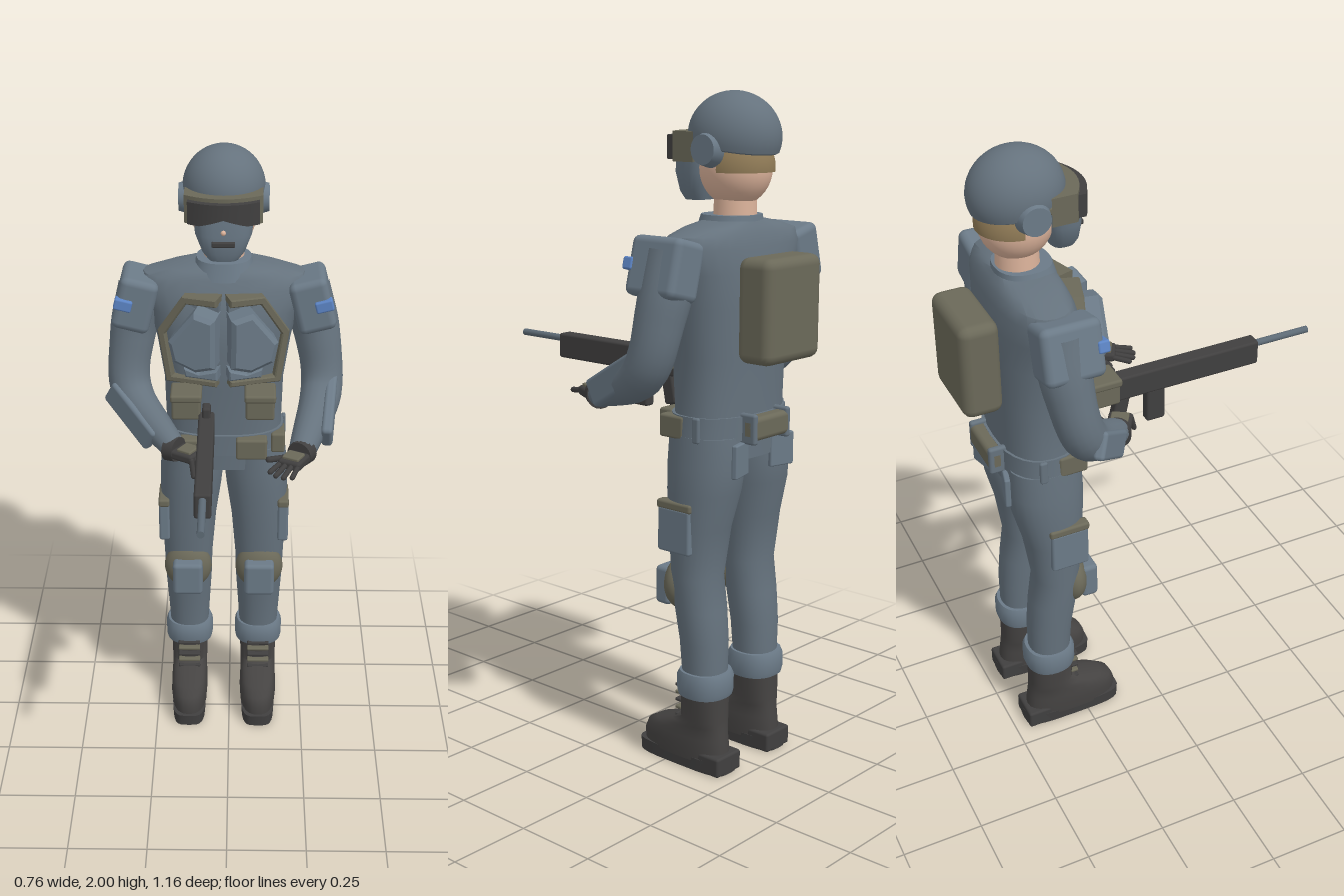
import * as THREE from 'three';
import { toCreasedNormals } from 'three/addons/utils/BufferGeometryUtils.js';
import { RoundedBoxGeometry } from 'three/addons/geometries/RoundedBoxGeometry.js';

const material = (name, color) => {
  const m = new THREE.MeshStandardMaterial({ color });
  m.name = name;
  return m;
};

export function createModel() {
  const uniform = material('uniform', 0x65727d);
  const armour = material('armour', 0x6b7a87);
  const olive = material('olive', 0x6b6959);
  const dark = material('dark', 0x403f3f);
  const boot = material('boot', 0x454342);
  const skin = material('skin', 0xdcb39b);
  const hair = material('hair', 0x8f7a56);
  const blue = material('blue', 0x5c84c4);
  const steel = material('steel', 0x5d6a75);

  const root = new THREE.Group();
  root.name = 'soldier';
  root.position.x = -0.02;

  const add = (name, geo, mat, pos = [0, 0, 0], parent = root) => {
    const m = new THREE.Mesh(geo, mat);
    m.name = name;
    m.position.set(...pos);
    parent.add(m);
    return m;
  };
  const box = (name, size, pos, mat, r = 0.008, parent = root) =>
    add(name, new RoundedBoxGeometry(...size, 2, Math.min(r, Math.min(...size) * 0.45)), mat, pos, parent);

  // closed skin over rings [y, centreX, frontZ, backZ, halfWidth]; p squares the section
  const loft = (rings, p = 2.4, n = 28) => {
    const pos = [], idx = [];
    const pw = (v) => Math.sign(v) * Math.abs(v) ** (2 / p);
    for (const [y, cx, zf, zb, rx] of rings)
      for (let i = 0; i < n; i++) {
        const a = (i / n) * Math.PI * 2;
        pos.push(cx + pw(Math.cos(a)) * rx, y, (zf + zb) / 2 + (pw(Math.sin(a)) * (zf - zb)) / 2);
      }
    for (let r = 0; r < rings.length - 1; r++)
      for (let i = 0; i < n; i++) {
        const a = r * n + i, b = r * n + ((i + 1) % n);
        idx.push(a, a + n, b, b, a + n, b + n);
      }
    const top = (rings.length - 1) * n;
    for (let i = 1; i < n - 1; i++) idx.push(0, i, i + 1, top, top + i + 1, top + i);
    const g = new THREE.BufferGeometry();
    g.setAttribute('position', new THREE.Float32BufferAttribute(pos, 3));
    g.setIndex(idx);
    return toCreasedNormals(g, 0.8);
  };

  // tube whose radius follows a list spread evenly along its path
  const limb = (pts, radii) => {
    const n = 24, m = 18;
    const g = new THREE.TubeGeometry(new THREE.CatmullRomCurve3(pts.map((p) => new THREE.Vector3(...p))), n, 1, m);
    const P = g.attributes.position, N = g.attributes.normal;
    for (let i = 0; i < P.count; i++) {
      const t = (Math.floor(i / (m + 1)) / n) * (radii.length - 1);
      const k = Math.min(Math.floor(t), radii.length - 2);
      const d = THREE.MathUtils.lerp(radii[k], radii[k + 1], t - k) - 1;
      P.setXYZ(i, P.getX(i) + N.getX(i) * d, P.getY(i) + N.getY(i) * d, P.getZ(i) + N.getZ(i) * d);
    }
    return g;
  };

  // bevelled plate from a half outline, mirrored by s and swept back from the centre line
  const plate = (name, s, pts, z, depth, mat, bevel = 0.008, sweep = 0.3) => {
    const shape = new THREE.Shape(pts.map(([x, y]) => new THREE.Vector2(x * s, y)));
    const geo = new THREE.ExtrudeGeometry(shape, {
      depth, bevelEnabled: bevel > 0, bevelSize: bevel, bevelThickness: bevel, bevelOffset: -bevel, bevelSegments: 1,
    });
    add(name, geo, mat, [0, 0, z]).rotation.y = s * sweep;
  };

  // torso, collar and belt
  add('torso', loft([
    [0.96, 0, -0.23, -0.46, 0.2], [1.1, 0, -0.225, -0.46, 0.186], [1.25, 0, -0.215, -0.465, 0.19],
    [1.4, 0, -0.2, -0.47, 0.212], [1.5, 0, -0.21, -0.465, 0.235], [1.57, 0, -0.235, -0.455, 0.265],
    [1.605, 0, -0.25, -0.445, 0.25], [1.625, 0, -0.26, -0.435, 0.18], [1.64, 0, -0.28, -0.425, 0.1],
  ]), uniform);
  add('collar', loft([[1.6, 0, -0.245, -0.43, 0.1], [1.655, 0, -0.26, -0.425, 0.085]]), armour);
  add('belt', loft([[1.02, 0, -0.215, -0.468, 0.198], [1.09, 0, -0.215, -0.468, 0.194]]), uniform);
  box('backBeltPouch', [0.17, 0.07, 0.05], [0, 1.055, -0.48], olive, 0.015);
  box('backpack', [0.25, 0.3, 0.12], [0, 1.4, -0.52], olive, 0.03);

  // head
  add('neck', new THREE.CylinderGeometry(0.06, 0.065, 0.12, 24), skin, [0, 1.67, -0.355]);
  add('head', new THREE.SphereGeometry(1, 32, 20), skin, [0, 1.785, -0.355]).scale.set(0.1, 0.11, 0.108);
  add('hair', new THREE.SphereGeometry(1, 32, 16, Math.PI + 0.1, Math.PI - 0.2, 0.3, 1.35), hair,
    [0, 1.785, -0.357]).scale.set(0.106, 0.116, 0.114);
  const dome = new THREE.SphereGeometry(1, 40, 28);
  for (let i = 0; i < dome.attributes.position.count; i++)
    dome.attributes.position.setY(i, Math.max(dome.attributes.position.getY(i), -0.25));
  const helmet = add('helmet', toCreasedNormals(dome, 0.6), uniform, [0, 1.873, -0.35]);
  helmet.scale.set(0.126, 0.127, 0.139);
  helmet.rotation.x = -0.14;
  add('faceMask', loft([
    [1.69, 0, -0.19, -0.26, 0.045], [1.715, 0, -0.18, -0.27, 0.064],
    [1.77, 0, -0.175, -0.29, 0.086], [1.84, 0, -0.18, -0.3, 0.092],
  ], 2.8), armour);
  box('mouthSlot', [0.07, 0.016, 0.02], [0, 1.75, -0.176], dark, 0.004);
  add('noseTip', new THREE.SphereGeometry(0.008, 12, 8), skin, [0, 1.785, -0.175]);

  // goggles: boxes curved around the face, the lens notched over the nose
  const curved = (w, h, d, notch) => {
    const g = new THREE.BoxGeometry(w, h, d, 12, 1, 1), P = g.attributes.position;
    for (let i = 0; i < P.count; i++) {
      const x = P.getX(i);
      P.setZ(i, P.getZ(i) - x * x * 3);
      if (P.getY(i) < 0) P.setY(i, P.getY(i) + notch * Math.max(0, 1 - Math.abs(x) / 0.07));
    }
    return toCreasedNormals(g, 0.5);
  };
  add('goggleFrame', curved(0.235, 0.085, 0.075, 0.02), olive, [0, 1.845, -0.215]);
  add('goggleLens', curved(0.215, 0.068, 0.03, 0.022), dark, [0, 1.842, -0.17]);

  // chest rig and small pouches, mirrored
  for (const s of [-1, 1]) {
    plate('vestFrame', s, [[0, 1.57], [0.11, 1.57], [0.192, 1.45], [0.165, 1.28], [0, 1.28], [0, 1.3], [0.145, 1.3],
      [0.167, 1.44], [0.098, 1.545], [0, 1.545]], -0.25, 0.072, olive, 0.004);
    plate('vestPanel', s, [[0, 1.55], [0.1, 1.55], [0.17, 1.44], [0.15, 1.29], [0, 1.29]], -0.25, 0.05, uniform, 0);
    plate('chestPlate', s, [[0.008, 1.52], [0.075, 1.54], [0.155, 1.44], [0.14, 1.375], [0.07, 1.345], [0.008, 1.36]],
      -0.22, 0.085, armour, 0.013, 0.2);
    plate('abdomenPlate', s, [[0.008, 1.345], [0.065, 1.33], [0.115, 1.345], [0.11, 1.315], [0.008, 1.31]],
      -0.21, 0.05, armour, 0.005, 0.2);
    box('vestPouch', [0.09, 0.075, 0.1], [s * 0.115, 1.235, -0.165], olive);
    box('vestPouchFlap', [0.098, 0.025, 0.108], [s * 0.115, 1.27, -0.163], olive);
    box('beltPouch', [0.1, 0.07, 0.05], [s * 0.09, 1.053, -0.215], olive);
    box('sidePouch', [0.045, 0.068, 0.09], [s * 0.175, 1.053, -0.285], olive);
    box('backBeltLoop', [0.02, 0.09, 0.06], [s * 0.075, 1.055, -0.475], uniform);
    box('hipLoop', [0.014, 0.075, 0.025], [s * 0.195, 1.055, -0.38], uniform);
    const pocket = box('backPocket', [0.085, 0.1, 0.018], [s * 0.095, 0.965, -0.462], armour, 0.005);
    pocket.rotation.y = s * 0.25;

    // ear cups
    const cup = add('earCup', new THREE.CylinderGeometry(0.042, 0.052, 0.035, 24), armour, [s * 0.12, 1.84, -0.345]);
    cup.rotation.z = -s * Math.PI / 2;
    box('earCupStrap', [0.02, 0.025, 0.1], [s * 0.107, 1.85, -0.28], olive);

    // shoulder pads with patches
    box('shoulderPad', [0.12, 0.17, 0.18], [s * 0.275, 1.52, -0.33], armour, 0.022).rotation.z = s * 0.25;
    box('shoulderPatch', [0.056, 0.036, 0.035], [s * 0.31, 1.53, -0.245], blue, 0.006).rotation.z = s * 0.25;
  }

  // legs and boots
  for (const s of [-1, 1]) {
    const x = s * 0.12;
    add('leg', loft([
      [0.27, x, -0.295, -0.425, 0.064], [0.4, x, -0.285, -0.425, 0.072], [0.5, x, -0.268, -0.415, 0.078],
      [0.6, x, -0.255, -0.4, 0.081], [0.75, s * 0.117, -0.243, -0.422, 0.091],
      [0.86, s * 0.11, -0.233, -0.45, 0.101], [0.94, s * 0.104, -0.229, -0.46, 0.104], [1.03, s * 0.1, -0.23, -0.455, 0.098],
    ], 2.2), uniform);
    add('trouserCuff', loft([[0.235, x, -0.285, -0.438, 0.078], [0.25, x, -0.28, -0.442, 0.081],
      [0.295, x, -0.28, -0.442, 0.081], [0.31, x, -0.288, -0.435, 0.075]], 2.3), armour);
    add('kneeCushion', new THREE.SphereGeometry(1, 24, 16), olive, [x, 0.567, -0.28]).scale.set(0.08, 0.085, 0.05);
    box('kneePlate', [0.1, 0.118, 0.055], [x, 0.552, -0.228], armour, 0.014);
    box('thighPocket', [0.035, 0.135, 0.12], [s * 0.197, 0.748, -0.31], armour);
    box('thighPocketFlap', [0.037, 0.027, 0.128], [s * 0.197, 0.822, -0.31], olive);

    add('boot', loft([
      [0.03, x, -0.14, -0.445, 0.06], [0.07, x, -0.137, -0.442, 0.063], [0.1, x, -0.15, -0.438, 0.062],
      [0.12, x, -0.185, -0.435, 0.06], [0.14, x, -0.25, -0.432, 0.06], [0.16, x, -0.288, -0.43, 0.061],
      [0.26, x, -0.29, -0.43, 0.064],
    ], 2.5), boot);
    add('sole', loft([[0, x, -0.13, -0.458, 0.056], [0.04, x, -0.128, -0.458, 0.058]], 4), dark);
    box('heel', [0.11, 0.06, 0.08], [x, 0.03, -0.417], dark);
    for (let i = 0; i < 5; i++)
      box('lace', [0.075, 0.01, 0.025], [x, 0.15 + i * 0.024, -0.285], i % 2 ? olive : dark, 0.004);
  }

  // arms
  add('leftArm', limb([[0.25, 1.56, -0.34], [0.295, 1.4, -0.335], [0.312, 1.235, -0.29], [0.245, 1.125, -0.05]],
    [0.08, 0.076, 0.068, 0.066, 0.055, 0.042]), uniform);
  add('rightArm', limb([[-0.25, 1.56, -0.34], [-0.288, 1.4, -0.335], [-0.295, 1.225, -0.29], [-0.16, 1.1, -0.13]],
    [0.08, 0.076, 0.068, 0.066, 0.055, 0.04]), uniform);
  const forearmPad = (a, b) => {
    const A = new THREE.Vector3(...a), B = new THREE.Vector3(...b);
    const m = box('forearmPad', [0.035, 0.085, A.distanceTo(B)], A.clone().add(B).multiplyScalar(0.5).toArray(), armour, 0.012);
    m.lookAt(B);
  };
  forearmPad([0.365, 1.255, -0.29], [0.303, 1.145, -0.1]);
  forearmPad([-0.345, 1.235, -0.28], [-0.235, 1.1, -0.14]);

  // gloved hands: s is the thumb side, curl bends the fingers down
  const hand = (name, pos, turn, s, curl) => {
    const g = new THREE.Group();
    g.name = name;
    g.position.set(...pos);
    g.rotation.y = turn;
    root.add(g);
    add('wristBand', new THREE.CylinderGeometry(0.04, 0.044, 0.035, 20), dark, [0, 0, 0], g).rotation.x = Math.PI / 2;
    box('palm', [0.075, 0.03, 0.085], [0, -0.005, 0.05], dark, 0.01, g);
    box('knucklePlate', [0.055, 0.012, 0.05], [0, 0.012, 0.055], olive, 0.004, g);
    for (let i = 0; i < 4; i++) {
      const f = new THREE.Group();
      f.name = 'finger';
      f.position.set((i - 1.5) * 0.02, -0.006, 0.088);
      f.rotation.set(curl, (i - 1.5) * 0.1, 0);
      g.add(f);
      const len = i === 0 || i === 3 ? 0.05 : 0.06;
      add('fingerTip', new THREE.CapsuleGeometry(0.0085, len, 4, 8), dark, [0, 0, len / 2], f).rotation.x = Math.PI / 2;
    }
    const thumb = add('thumb', new THREE.CapsuleGeometry(0.01, 0.05, 4, 8), dark, [s * 0.055, -0.008, 0.06], g);
    thumb.rotation.set(Math.PI / 2, 0, -s * 0.8);
  };
  hand('leftHand', [0.243, 1.125, -0.045], -0.49, -1, 0.15);
  hand('rightHand', [-0.155, 1.095, -0.125], 1.0, 1, 1.3);

  // rifle
  const gunX = -0.051;
  box('rifleBody', [0.05, 0.08, 0.53], [gunX, 1.18, 0.13], dark);
  add('rifleBarrel', new THREE.CylinderGeometry(0.011, 0.011, 0.2, 16), steel, [gunX, 1.2, 0.48]).rotation.x = Math.PI / 2;
  box('rifleForegrip', [0.036, 0.115, 0.062], [gunX, 1.087, 0.047], dark);
  box('riflePistolGrip', [0.034, 0.1, 0.045], [gunX, 1.1, -0.07], dark).rotation.x = 0.2;
  box('rifleSight', [0.026, 0.04, 0.05], [gunX, 1.232, -0.11], dark);

  const model = new THREE.Group();
  model.name = 'model';
  model.add(root);
  return model;
}
